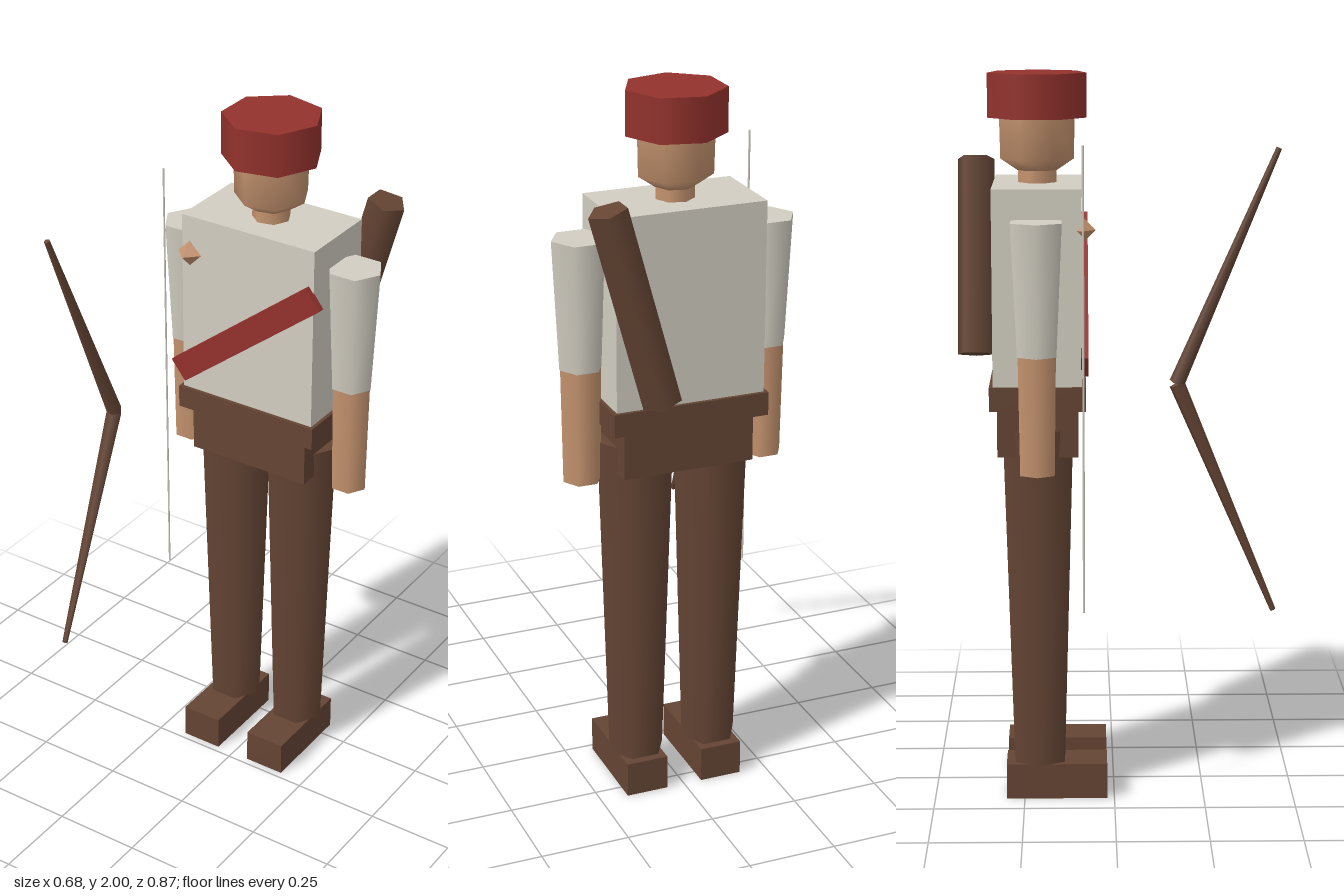
import * as THREE from 'three';

const mat = (name, color, side = THREE.FrontSide) => {
  const m = new THREE.MeshStandardMaterial({ color, side });
  m.name = name;
  return m;
};

export function createModel() {
  const model = new THREE.Group();
  model.name = 'archer';
  const shirt = mat('shirt cloth', 0xd2cec2);
  const brown = mat('brown leather', 0x654534);
  const skin = mat('skin', 0xc6946f, THREE.DoubleSide);
  const red = mat('red cloth', 0x94322d);
  const Z = -0.207; // depth of the body axis

  const add = (name, geometry, material, x, y, z) => {
    const mesh = new THREE.Mesh(geometry, material);
    mesh.name = name;
    mesh.position.set(x, y, z);
    model.add(mesh);
    return mesh;
  };
  const box = (name, material, w, h, d, x, y, z) =>
    add(name, new THREE.BoxGeometry(w, h, d), material, x, y, z);
  // Few-sided tapered cylinder with one corner pointing to +x
  const prism = (rTop, rBottom, h, sides) =>
    new THREE.CylinderGeometry(rTop, rBottom, h, sides).rotateY(Math.PI / 2);

  // Torso, belt and hips
  box('torso', shirt, 0.42, 0.53, 0.24, 0, 1.44, Z);
  box('belt', brown, 0.44, 0.065, 0.26, 0, 1.143, Z);
  box('hips', brown, 0.37, 0.15, 0.22, 0, 1.053, Z);

  // Legs, boots and arms, mirrored
  for (const [side, s] of [['left', 1], ['right', -1]]) {
    add(side + 'Leg', prism(0.11, 0.08, 0.95, 6), brown, s * 0.11, 0.575, Z);
    box(side + 'Boot', brown, 0.12, 0.1, 0.28, s * 0.112, 0.05, -0.16);
    add(side + 'Sleeve', prism(0.078, 0.06, 0.355, 6), shirt, s * 0.264, 1.4475, Z);
    add(side + 'Forearm', prism(0.058, 0.053, 0.32, 6), skin, s * 0.264, 1.11, Z);
  }

  // Neck, head and cap
  add('neck', prism(0.053, 0.053, 0.08, 7), skin, 0, 1.73, Z);
  const headProfile = [[0, 1.735], [0.055, 1.738], [0.102, 1.77], [0.105, 1.9]]
    .map(([r, y]) => new THREE.Vector2(r, y));
  add('head', new THREE.LatheGeometry(headProfile, 7).rotateY(Math.PI / 2), skin, 0, 0, Z);
  add('cap', prism(0.137, 0.137, 0.12, 7), red, 0, 1.94, Z);

  // Sash across the chest and small stud on the shoulder
  box('sash', red, 0.553, 0.072, 0.02, 0, 1.402, -0.08).rotation.z = 0.67;
  add('shoulderStud', new THREE.OctahedronGeometry(0.037), skin, -0.186, 1.595, -0.087);

  // Quiver leaning across the back
  add('quiver', prism(0.054, 0.054, 0.555, 5), brown, 0.18, 1.48, -0.384).rotation.z = -0.27;

  // Bow limbs and string
  for (const [name, s] of [['upperLimb', 1], ['lowerLimb', -1]]) {
    const limb = add(name, prism(0.008, 0.022, 0.675, 5), brown, -0.267, 1.195 + s * 0.312, 0.296);
    limb.rotation.x = s > 0 ? 0.4 : Math.PI - 0.4;
  }
  add('bowString', prism(0.003, 0.003, 1.26, 4), shirt, -0.267, 1.195, -0.084);

  return model;
}
